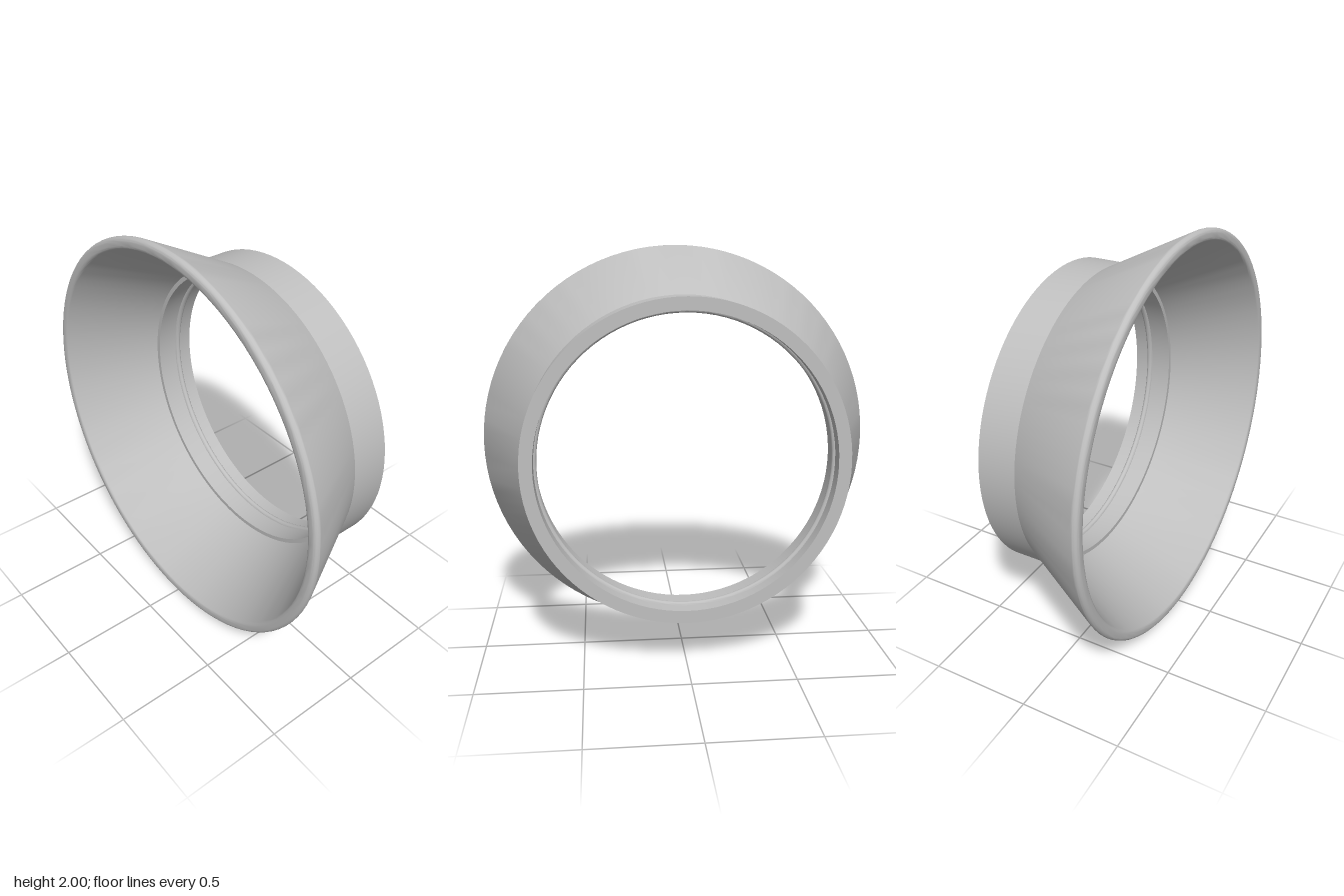
import * as THREE from 'three';
import { toCreasedNormals } from 'three/addons/utils/BufferGeometryUtils.js';

// points on an arc in the (radius, depth) plane, angles in degrees
function arc(r, z, rx, rz, from, to, steps) {
  return Array.from({ length: steps + 1 }, (_, i) => {
    const a = THREE.MathUtils.degToRad(from + ((to - from) * i) / steps);
    return new THREE.Vector2(r + rx * Math.cos(a), z + rz * Math.sin(a));
  });
}

export function createModel() {
  const group = new THREE.Group();
  const grey = new THREE.MeshStandardMaterial({ color: 0xbfbfbf });
  grey.name = 'grey';
  const p = (r, z) => new THREE.Vector2(r, z);

  // closed wall section: sleeve, flared cone, rounded lip, inner cone, ledge, bead
  const profile = [
    p(0.71, -0.324), p(0.772, -0.324), p(0.772, -0.132),
    ...arc(0.978, 0.302, 0.022, 0.022, -28, 90, 8),
    ...arc(0.962, 0.302, 0.022, 0.022, 90, 154, 5),
    p(0.732, -0.12), p(0.71, -0.12),
    ...arc(0.71, -0.24, 0.014, 0.015, 90, 270, 8),
    p(0.71, -0.324),
  ];
  const geometry = toCreasedNormals(new THREE.LatheGeometry(profile, 96), 0.43);
  geometry.rotateX(Math.PI / 2);

  const collar = new THREE.Mesh(geometry, grey);
  collar.name = 'flaredCollar';
  collar.position.y = 1;
  group.add(collar);
  return group;
}
